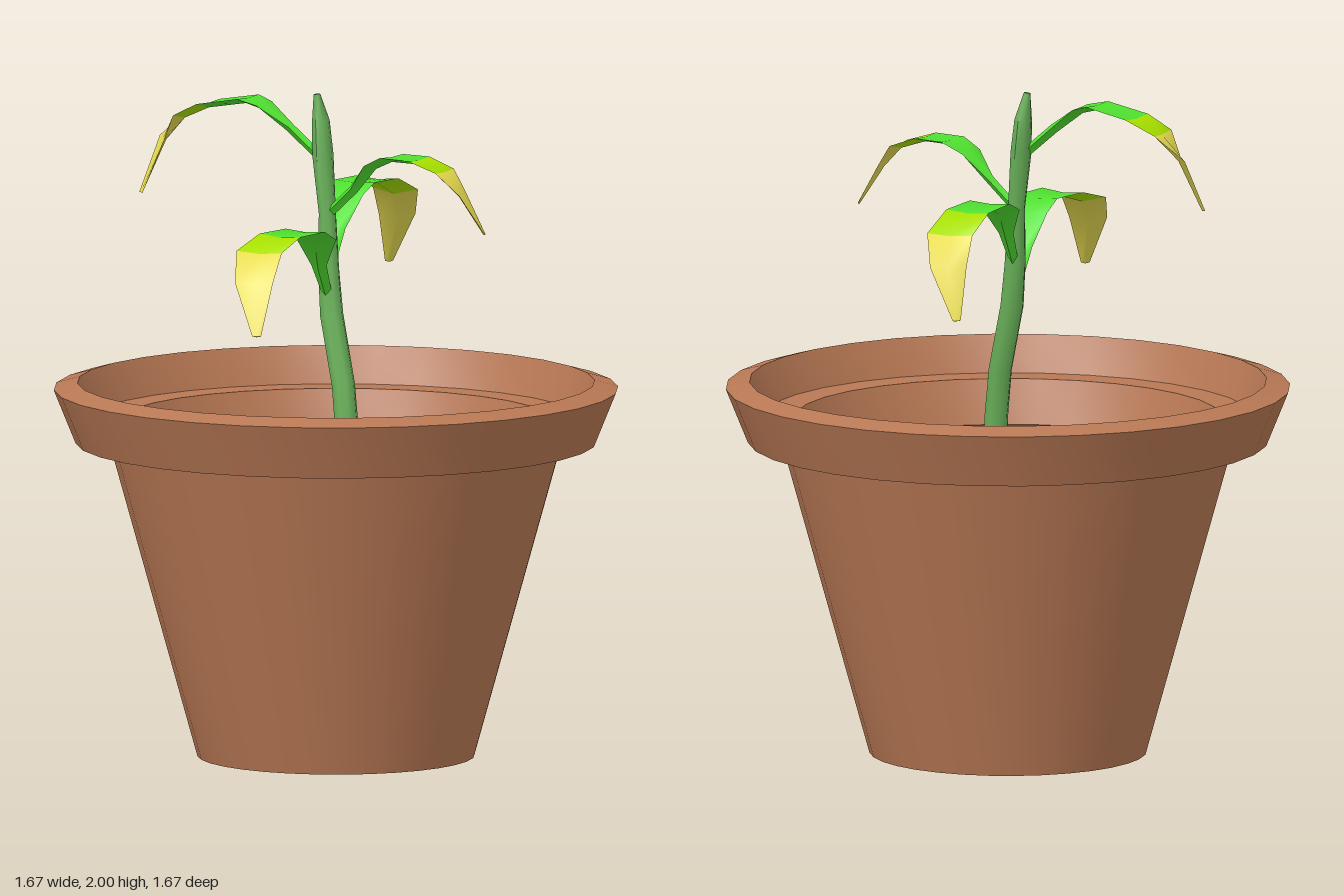
import * as THREE from 'three';
import { toCreasedNormals } from 'three/addons/utils/BufferGeometryUtils.js';

const mat = (color) => new THREE.MeshStandardMaterial({ color });
const Y = new THREE.Vector3(0, 1, 0);
const Z = new THREE.Vector3(0, 0, 1);

// Skin through elliptical cross-sections along a path.
// rows: [x, y, z, halfWidth, halfThickness]; drop folds the middle down.
function sweep(rows, sides, ref, drop = 0) {
  const pts = rows.map((r) => new THREE.Vector3(r[0], r[1], r[2]));
  const last = pts.length - 1;
  const pos = [];
  const index = [];
  pts.forEach((p, i) => {
    const t = pts[Math.min(i + 1, last)].clone().sub(pts[Math.max(i - 1, 0)]).normalize();
    const side = ref.clone().cross(t).normalize();
    const up = t.clone().cross(side);
    for (let j = 0; j < sides; j++) {
      const a = (j / sides) * Math.PI * 2;
      const fold = drop * rows[i][3] * Math.abs(Math.sin(a));
      const v = p.clone()
        .addScaledVector(side, Math.cos(a) * rows[i][3])
        .addScaledVector(up, Math.sin(a) * rows[i][4] - fold);
      pos.push(v.x, v.y, v.z);
    }
  });
  for (let i = 0; i < last; i++) {
    for (let j = 0; j < sides; j++) {
      const a = i * sides + j;
      const b = i * sides + ((j + 1) % sides);
      index.push(a, b, b + sides, a, b + sides, a + sides);
    }
  }
  // end cap
  for (let j = 1; j < sides - 1; j++) {
    index.push(last * sides, last * sides + j, last * sides + j + 1);
  }
  const g = new THREE.BufferGeometry();
  g.setAttribute('position', new THREE.Float32BufferAttribute(pos, 3));
  g.setIndex(index);
  return toCreasedNormals(g, 0.9);
}

// Cut a run of triangles out of a swept skin, keeping its normals.
function slice(g, from, to) {
  const out = new THREE.BufferGeometry();
  for (const key of ['position', 'normal']) {
    out.setAttribute(key, new THREE.BufferAttribute(g.attributes[key].array.slice(from * 3, to * 3), 3));
  }
  return out;
}

function makeLeaf(name, path, width) {
  // stalk widens into the blade, which narrows to a rounded tip
  const widths = [0.2, 0.32, 0.85, 0.95, 1, 1, 0.78, 0.18];
  const thick = [0.014, 0.014, 0.009, 0.007, 0.006, 0.006, 0.005, 0.003];
  const skin = sweep(path.map((p, i) => [...p, widths[i] * width, thick[i]]), 4, Y, 0.18);
  const perRow = 4 * 6;
  const end = skin.attributes.position.count;
  const leaf = new THREE.Group();
  leaf.name = name;
  const bands = [
    ['blade', 0, 4 * perRow, 0x50e030],
    ['fadingBand', 4 * perRow, 5 * perRow, 0xa8e000],
    ['yellowTip', 5 * perRow, end, 0xe8dc50],
  ];
  for (const [part, from, to, color] of bands) {
    const m = new THREE.Mesh(slice(skin, from, to), mat(color));
    m.name = part;
    m.material.side = THREE.DoubleSide;
    leaf.add(m);
  }
  return leaf;
}

export function createModel() {
  const model = new THREE.Group();
  model.name = 'pottedPlant';

  // Pot: outer wall, overhanging collar, rim and stepped inside
  const profile = [
    [0, 0], [0.41, 0.025], [0.67, 0.96], [0.77, 0.96], [0.835, 1.12],
    [0.765, 1.14], [0.725, 1.03], [0.63, 1.03], [0.585, 0.89],
  ].map(([r, y]) => new THREE.Vector2(r, y));
  const pot = new THREE.Mesh(toCreasedNormals(new THREE.LatheGeometry(profile, 32), 0.4), mat(0xb87854));
  pot.name = 'pot';
  model.add(pot);

  // Soil
  const soil = new THREE.Mesh(new THREE.CircleGeometry(0.595, 32).rotateX(-Math.PI / 2), mat(0x5e3a20));
  soil.name = 'soil';
  soil.position.y = 0.9;
  model.add(soil);

  // Stem, leaning and ending in a tapered shoot
  const stem = new THREE.Mesh(sweep([
    [0.11, 0.87, 0.115, 0.036, 0.036],
    [0.105, 1.0, 0.11, 0.036, 0.036],
    [0.085, 1.15, 0.1, 0.036, 0.034],
    [0.03, 1.35, 0.075, 0.036, 0.034],
    [0.012, 1.48, 0.062, 0.033, 0.03],
    [0, 1.65, 0.05, 0.026, 0.026],
    [-0.02, 1.82, 0.042, 0.03, 0.036],
    [-0.032, 1.92, 0.034, 0.025, 0.03],
    [-0.042, 2.0, 0.04, 0.01, 0.01],
  ], 8, Z), mat(0x68b058));
  stem.name = 'stem';
  model.add(stem);

  // Four arching leaves
  model.add(makeLeaf('frontLeaf', [
    [0.015, 1.4, 0.07], [0.04, 1.51, 0.165], [0.075, 1.6, 0.24], [0.08, 1.635, 0.31],
    [0.07, 1.635, 0.44], [0.07, 1.6, 0.56], [0.1, 1.52, 0.64], [0.145, 1.37, 0.7],
  ], 0.072));
  model.add(makeLeaf('backLeaf', [
    [0.01, 1.49, 0.05], [-0.02, 1.59, -0.045], [-0.05, 1.68, -0.13], [-0.055, 1.71, -0.2],
    [-0.06, 1.705, -0.34], [-0.07, 1.655, -0.46], [-0.1, 1.57, -0.52], [-0.155, 1.42, -0.565],
  ], 0.07));
  model.add(makeLeaf('leftLeaf', [
    [-0.005, 1.64, 0.055], [0.09, 1.73, 0.05], [0.15, 1.805, 0.04], [0.22, 1.835, 0.05],
    [0.32, 1.835, 0.06], [0.41, 1.805, 0.06], [0.465, 1.74, 0.05], [0.525, 1.62, 0.02],
  ], 0.06));
  model.add(makeLeaf('rightLeaf', [
    [-0.02, 1.81, 0.045], [-0.12, 1.9, 0.06], [-0.2, 1.965, 0.08], [-0.26, 1.98, 0.075],
    [-0.4, 1.955, 0.07], [-0.49, 1.915, 0.07], [-0.545, 1.84, 0.09], [-0.585, 1.68, 0.145],
  ], 0.064));

  return model;
}
